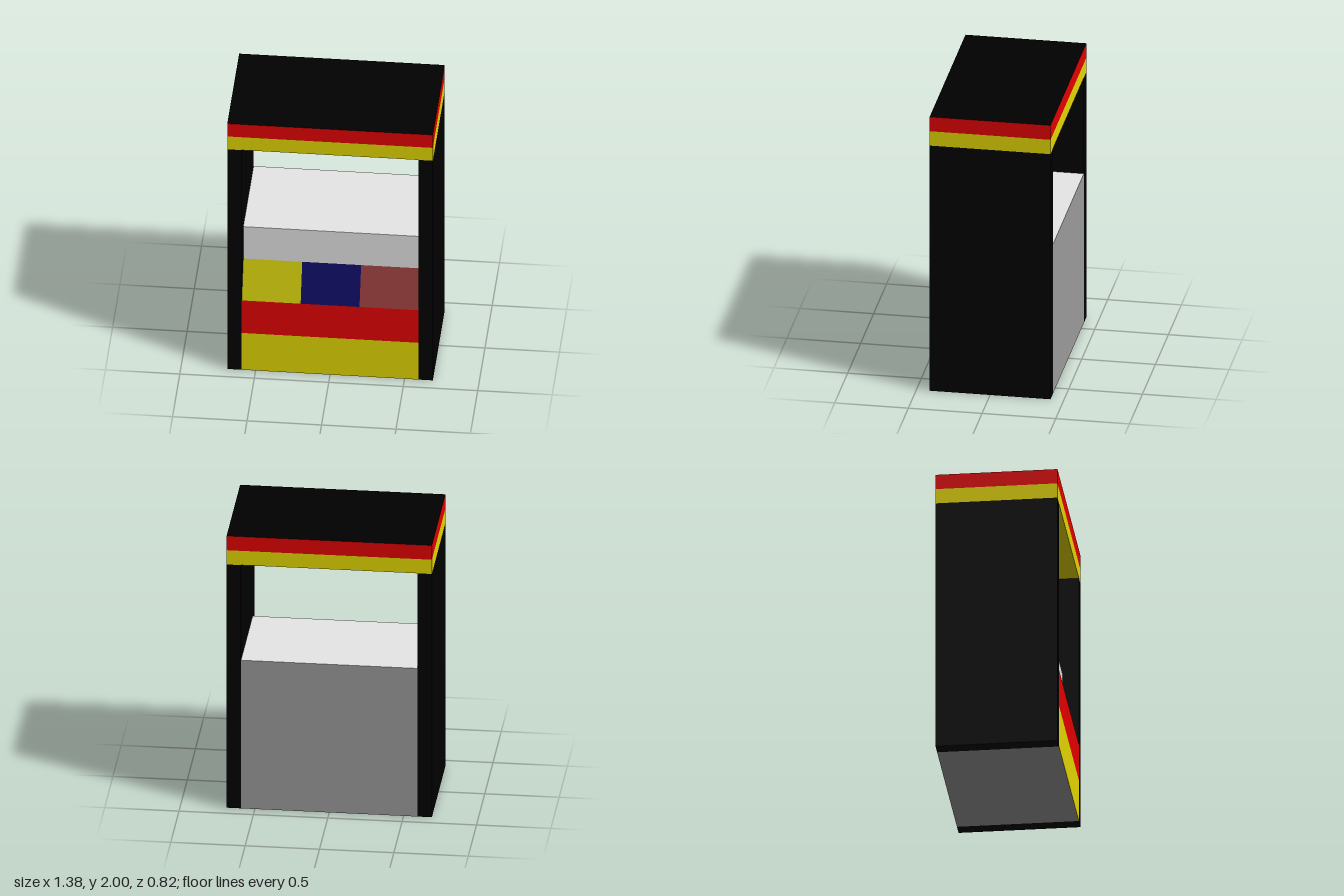
import * as THREE from 'three';

const mat = (name, color) => {
  const m = new THREE.MeshStandardMaterial({ color });
  m.name = name;
  return m;
};

export function createModel() {
  const black = mat('black', 0x000000);
  const red = mat('red', 0xff0000);
  const yellow = mat('yellow', 0xfff000);
  const white = mat('offWhite', 0xf0f0f0);
  const grey = mat('grey', 0x9d9d9d);
  const lime = mat('dullYellow', 0xc0bc00);
  const navy = mat('navy', 0x00005b);
  const brown = mat('brown', 0x8b3636);

  const group = new THREE.Group();
  group.name = 'booth';
  const W = 0.69, D = 0.41, IN = 0.593, ROOF = 1.79, BAND = 1.895, TOP = 2;

  const add = (name, geometry, material) => {
    const mesh = new THREE.Mesh(geometry, material);
    mesh.name = name;
    group.add(mesh);
    return mesh;
  };
  const box = (name, x0, x1, y0, y1, material) =>
    add(name, new THREE.BoxGeometry(x1 - x0, y1 - y0, 2 * D), material)
      .position.set((x0 + x1) / 2, (y0 + y1) / 2, 0);

  // Side walls
  box('leftWall', IN, W, 0, ROOF, black);
  box('rightWall', -W, -IN, 0, ROOF, black);

  // Two-band roof with a black top
  box('roofLowerBand', -W, W, ROOF, BAND, yellow);
  box('roofUpperBand', -W, W, BAND, TOP, [red, red, black, red, red, red]);

  // Flat face spanning x0..x1 between two [z, y] profile points
  const face = (name, x0, x1, [z0, y0], [z1, y1], material) => {
    const g = new THREE.BufferGeometry();
    g.setAttribute('position', new THREE.Float32BufferAttribute(
      [x0, y0, z0, x1, y0, z0, x1, y1, z1, x0, y1, z1], 3));
    g.setIndex([0, 1, 2, 0, 2, 3]);
    g.computeVertexNormals();
    add(name, g, material);
  };

  // Counter: closed profile from the front foot, up, over and back underneath
  const profile = [[D, 0], [D, 0.3], [D, 0.565], [0.3, 0.83], [0.3, 1.09], [-D, 1.09], [-D, 0]];
  const parts = [
    ['counterBase', [yellow]],
    ['counterBand', [red]],
    ['slopedPanel', [lime, navy, brown]],
    ['counterUpperFront', [white]],
    ['counterTop', [white]],
    ['counterBack', [grey]],
    ['counterUnderside', [grey]],
  ];
  parts.forEach(([name, colours], i) => {
    const step = (2 * IN) / colours.length;
    colours.forEach((m, k) => face(
      colours.length > 1 ? name + (k + 1) : name,
      -IN + k * step, -IN + (k + 1) * step,
      profile[i], profile[(i + 1) % profile.length], m));
  });

  return group;
}
